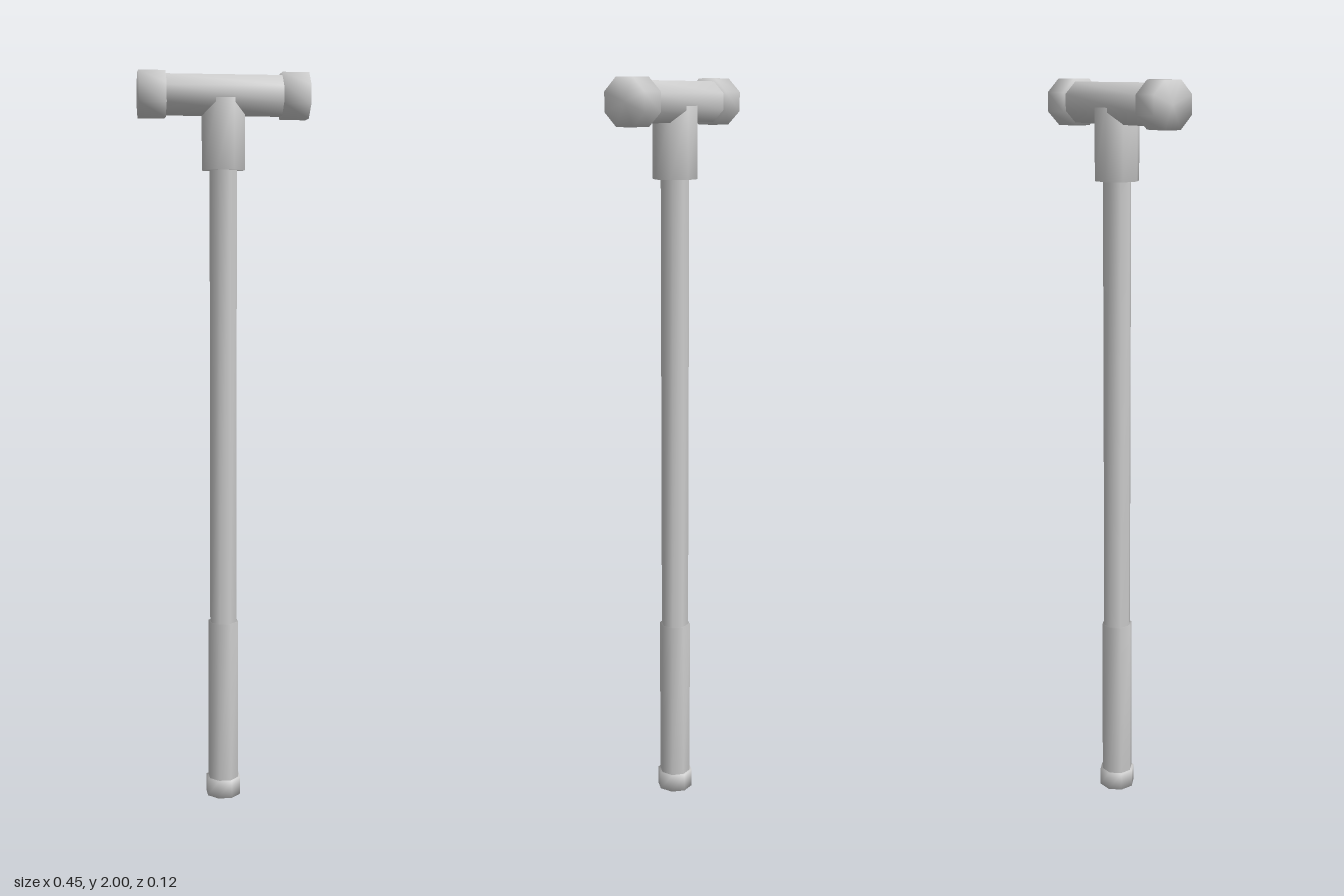
import * as THREE from 'three';
import { mergeVertices } from 'three/addons/utils/BufferGeometryUtils.js';

const SIDES = 8;

// Closed octagonal bar with softened normals; flats face the axes.
function octBar(name, apothem, from, to, material) {
  const radius = apothem / Math.cos(Math.PI / SIDES);
  let geometry = new THREE.CylinderGeometry(radius, radius, to - from, SIDES, 1, false, Math.PI / SIDES);
  geometry.deleteAttribute('normal');
  geometry.deleteAttribute('uv');
  geometry = mergeVertices(geometry, 1e-4);
  geometry.computeVertexNormals();
  geometry.translate(0, (from + to) / 2, 0);
  const mesh = new THREE.Mesh(geometry, material);
  mesh.name = name;
  return mesh;
}

export function createModel() {
  const grey = new THREE.MeshStandardMaterial({ color: 0xcccccc });
  grey.name = 'plain grey';

  const model = new THREE.Group();
  model.name = 'hammer';

  // Handle, from the floor up
  model.add(
    octBar('pommel', 0.046, 0, 0.05, grey),
    octBar('grip', 0.04, 0.045, 0.505, grey),
    octBar('shaft', 0.035, 0.5, 1.76, grey),
    octBar('neck', 0.055, 1.745, 1.93, grey)
  );

  // Head lies along x with a striking cap at each end
  const head = new THREE.Group();
  head.name = 'head';
  head.add(octBar('headBar', 0.052, -0.165, 0.165, grey));
  head.add(octBar('rightCap', 0.06, -0.226, -0.155, grey));
  head.add(octBar('leftCap', 0.06, 0.155, 0.226, grey));
  head.rotation.z = -Math.PI / 2;
  head.position.y = 1.94;
  model.add(head);

  return model;
}
